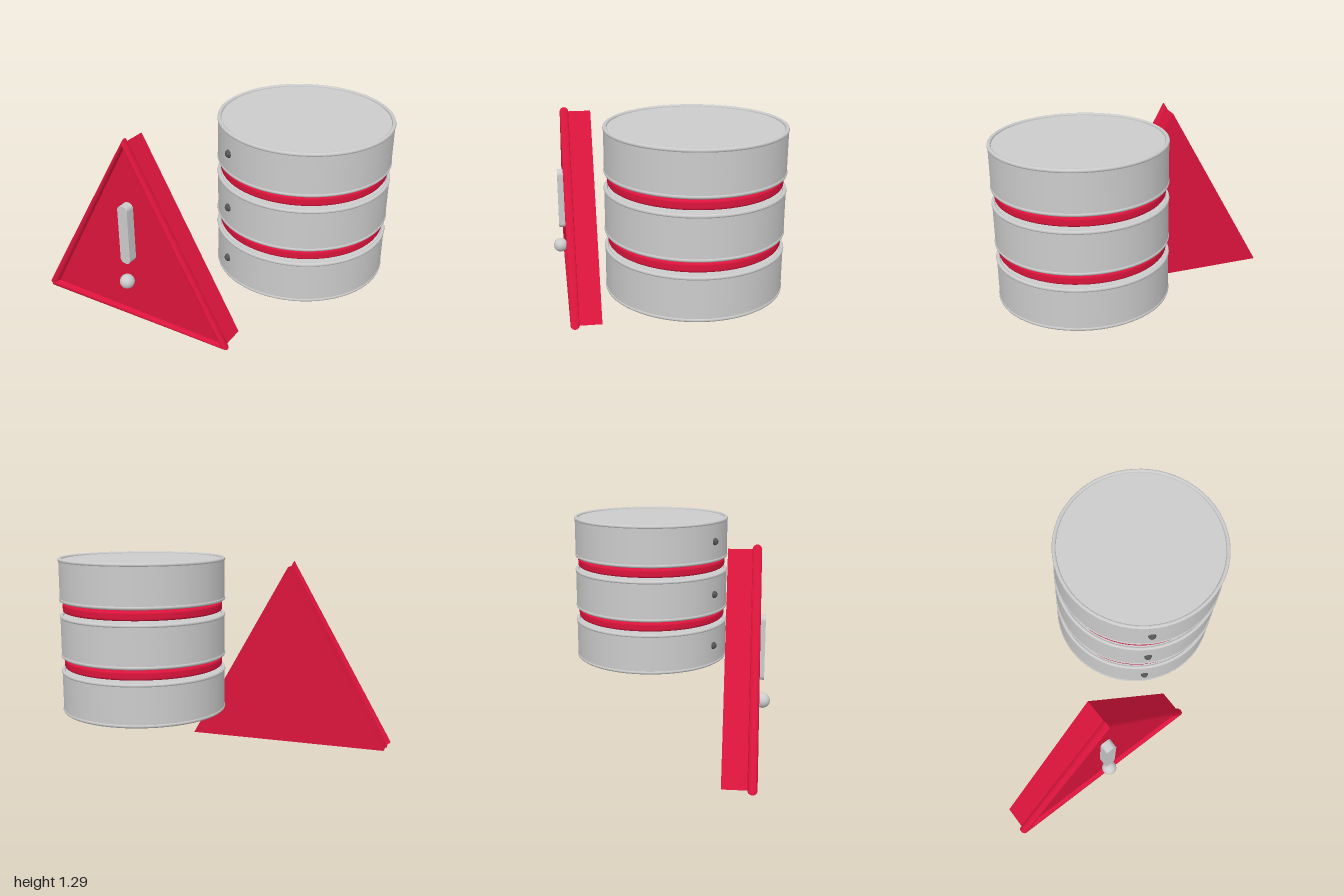
import * as THREE from 'three';

const grey = new THREE.MeshStandardMaterial({ color: 0xcccccc });
const dark = new THREE.MeshStandardMaterial({ color: 0x555555 });
const red = new THREE.MeshStandardMaterial({ color: 0xdc143c });
const redOpen = new THREE.MeshStandardMaterial({ color: 0xdc143c, side: THREE.DoubleSide });

function add(parent, name, geometry, material, x = 0, y = 0, z = 0) {
  const mesh = new THREE.Mesh(geometry, material);
  mesh.name = name;
  mesh.position.set(x, y, z);
  parent.add(mesh);
  return mesh;
}

// Flat disc with rounded rim
function roundedDisc(radius, height, round) {
  const h = height / 2;
  const pts = [new THREE.Vector2(0, -h), new THREE.Vector2(radius - round, -h)];
  for (let i = 0; i <= 4; i++) {
    const a = -Math.PI / 2 + (i / 4) * Math.PI / 2;
    pts.push(new THREE.Vector2(radius - round + round * Math.cos(a), -h + round + round * Math.sin(a)));
  }
  for (let i = 0; i <= 4; i++) {
    const a = (i / 4) * Math.PI / 2;
    pts.push(new THREE.Vector2(radius - round + round * Math.cos(a), h - round + round * Math.sin(a)));
  }
  pts.push(new THREE.Vector2(radius - round, h), new THREE.Vector2(0, h));
  return new THREE.LatheGeometry(pts, 64);
}

// Round bead joining ring sections; each section is a centre plus its in-plane side direction
function sweptBead(sections, radius, sides = 16) {
  const pos = [], index = [];
  for (const { p, side } of sections) {
    for (let j = 0; j <= sides; j++) {
      const a = (j / sides) * Math.PI * 2;
      const s = Math.cos(a) * radius;
      pos.push(p.x + side.x * s, p.y + side.y * s, Math.sin(a) * radius);
    }
  }
  const row = sides + 1;
  for (let i = 0; i < sections.length - 1; i++) {
    for (let j = 0; j < sides; j++) {
      const a = i * row + j, b = a + row;
      index.push(a, b, a + 1, b, b + 1, a + 1);
    }
  }
  const g = new THREE.BufferGeometry();
  g.setAttribute('position', new THREE.Float32BufferAttribute(pos, 3));
  g.setIndex(index);
  const flat = g.toNonIndexed();
  flat.computeVertexNormals();
  return flat;
}

function createDrumStack() {
  const stack = new THREE.Group();
  stack.name = 'drumStack';
  stack.position.set(0.48, 0, -0.143);
  const R = 0.511, H = 0.242;
  [0.473, 0.818, 1.164].forEach((y) => {
    add(stack, 'drum', new THREE.CylinderGeometry(R, R, H, 64), grey, 0, y, 0);
    for (const s of [-1, 1]) {
      const rim = add(stack, 'drumRim', new THREE.TorusGeometry(0.503, 0.012, 10, 64), grey, 0, y + s * H / 2, 0);
      rim.rotation.x = Math.PI / 2;
    }
    // Small indicator on the front of each drum
    add(stack, 'indicator', new THREE.SphereGeometry(0.024, 20, 14), dark, -0.26, y + 0.002, 0.437);
  });
  [0.647, 0.993].forEach((y) =>
    add(stack, 'redBand', roundedDisc(0.495, 0.054, 0.013), red, 0, y, 0));
  return stack;
}

function createWarningSign() {
  const sign = new THREE.Group();
  sign.name = 'warningSign';
  sign.position.set(-0.3125, 0, 0);
  const left = new THREE.Vector2(-0.6625, 0.03);
  const right = new THREE.Vector2(0.6625, 0.03);
  const top = new THREE.Vector2(0, 1.21);

  // Thick triangular plate
  const plate = new THREE.ExtrudeGeometry(new THREE.Shape([left, right, top]),
    { depth: 0.167, bevelEnabled: false });
  add(sign, 'plate', plate, red, 0, 0, 0.39);

  // Bead around the front edge, open at the left corner and pinched at the others
  const c = Math.cos(Math.PI / 6);
  const bead = sweptBead([
    { p: left, side: new THREE.Vector2(0, -1) },
    { p: right, side: new THREE.Vector2(c, -0.5) },
    { p: top, side: new THREE.Vector2(0, 1) },
    { p: left, side: new THREE.Vector2(-c, 0.5) },
  ], 0.027);
  add(sign, 'edgeBead', bead, redOpen, 0, 0, 0.557);

  // Exclamation mark: round-ended bar and ball
  const w = 0.035, r = 0.03, y0 = 0.43, y1 = 0.825;
  const bar = new THREE.Shape();
  bar.absarc(w - r, y1 - r, r, 0, Math.PI / 2);
  bar.absarc(r - w, y1 - r, r, Math.PI / 2, Math.PI);
  bar.absarc(r - w, y0 + r, r, Math.PI, Math.PI * 1.5);
  bar.absarc(w - r, y0 + r, r, Math.PI * 1.5, Math.PI * 2);
  add(sign, 'markBar', new THREE.ExtrudeGeometry(bar, { depth: 0.07, bevelEnabled: false, curveSegments: 8 }),
    grey, 0, 0, 0.548);
  add(sign, 'markDot', new THREE.SphereGeometry(0.046, 32, 20), grey, 0, 0.298, 0.613);
  return sign;
}

export function createModel() {
  const model = new THREE.Group();
  model.name = 'drumStackWithWarningSign';
  model.add(createDrumStack(), createWarningSign());
  return model;
}
